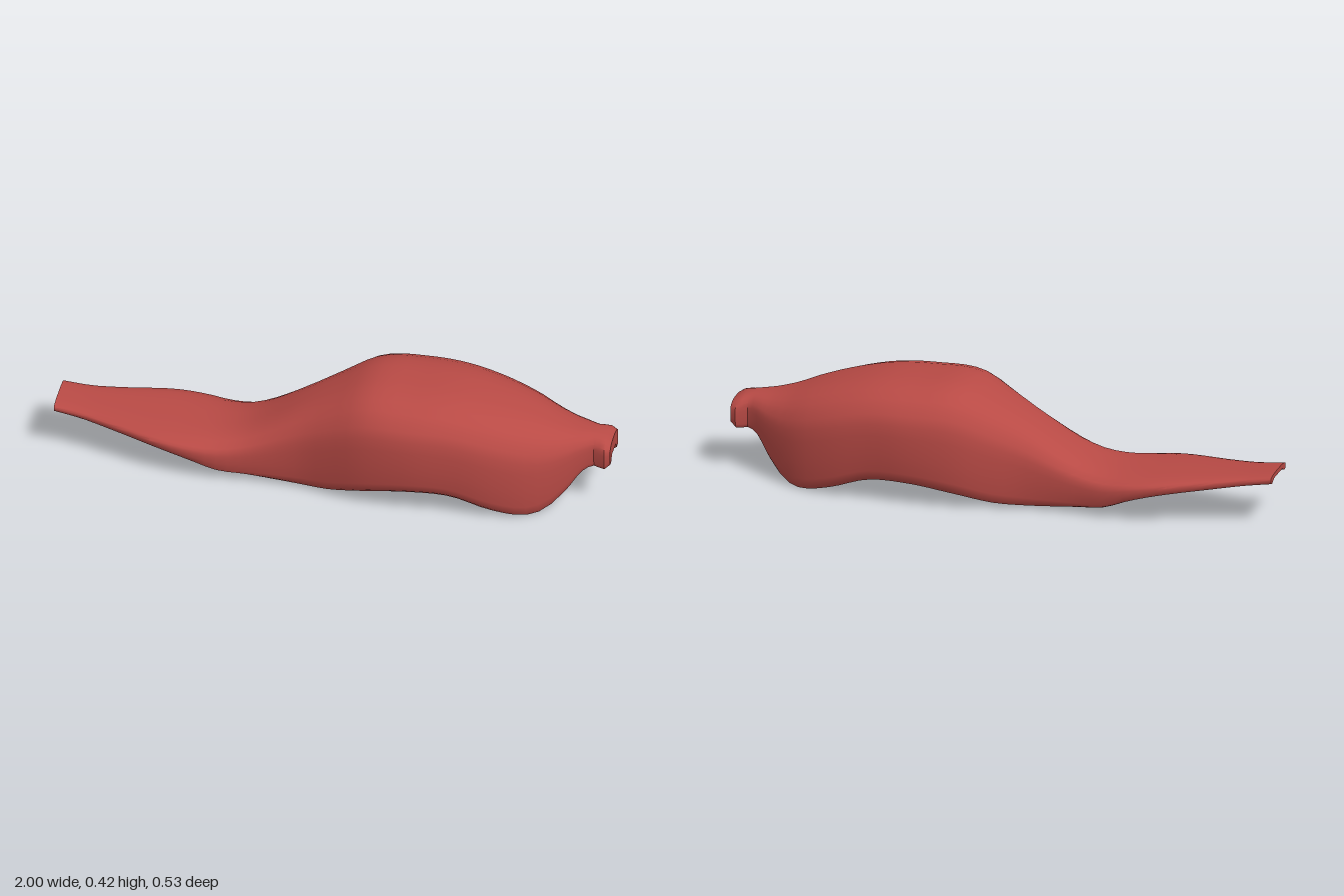
import * as THREE from 'three';
import { toCreasedNormals } from 'three/addons/utils/BufferGeometryUtils.js';

// Stations along the body: x, top, bottom, half width, channel ceiling, channel half width at the bottom
const STATIONS = [
  [-1.0, 0.195, 0.165, 0.09, 0.177, 0.072],
  [-0.9, 0.183, 0.15, 0.098, 0.16, 0.078],
  [-0.8, 0.175, 0.135, 0.122, 0.147, 0.09],
  [-0.6, 0.162, 0.105, 0.178, 0.126, 0.115],
  [-0.5, 0.156, 0.077, 0.185, 0.113, 0.115],
  [-0.4, 0.157, 0.038, 0.175, 0.1, 0.11],
  [-0.3, 0.18, 0.025, 0.162, 0.098, 0.107],
  [-0.1, 0.292, 0.012, 0.17, 0.1, 0.109],
  [0.0, 0.348, 0.02, 0.2, 0.11, 0.115],
  [0.13, 0.413, 0.052, 0.243, 0.13, 0.122],
  [0.3, 0.417, 0.08, 0.263, 0.146, 0.125],
  [0.45, 0.408, 0.075, 0.253, 0.14, 0.122],
  [0.6, 0.375, 0.024, 0.234, 0.113, 0.115],
  [0.72, 0.336, 0.0, 0.198, 0.1, 0.11],
  [0.78, 0.312, 0.016, 0.165, 0.11, 0.1],
  [0.85, 0.293, 0.08, 0.12, 0.14, 0.085],
  [0.9, 0.285, 0.145, 0.088, 0.172, 0.066],
  [0.94, 0.28, 0.162, 0.068, 0.187, 0.054],
  [0.98, 0.27, 0.161, 0.085, 0.195, 0.056],
  [1.0, 0.257, 0.178, 0.077, 0.202, 0.052],
];

// Half of the arched cross-section from the crown to the channel ceiling, as [z, y]
function halfSection(x, top, bottom, width, ceiling, inner) {
  const h = top - bottom;
  return [
    [0, top], [0.2 * width, top - 0.003 * h], [0.4 * width, top - 0.015 * h],
    [0.6 * width, top - 0.055 * h], [0.76 * width, top - 0.112 * h],
    [0.94 * width, top - 0.24 * h], [0.98 * width, top - 0.35 * h],
    [width, top - 0.47 * h], [0.985 * width, top - 0.7 * h],
    [0.965 * width, top - 0.88 * h], [0.94 * width, top - 0.96 * h],
    [0.88 * width, bottom], [inner, bottom],
    [inner * 0.84, bottom + (ceiling - bottom) * 0.5],
    [inner * 0.68, ceiling], [0, ceiling],
  ];
}

function bodyGeometry() {
  const spline = new THREE.CubicInterpolant(
    STATIONS.map((s) => s[0]), STATIONS.flat(), 6, new Float32Array(6));
  const positions = [], index = [];

  // Sample more finely at the narrow end
  const xs = [];
  for (let i = 0; i <= 46; i++) xs.push(-1 + (1.84 * i) / 46);
  for (let i = 1; i <= 8; i++) xs.push(0.84 + 0.02 * i);

  // Mirrored rings lofted along x
  let n;
  for (const x of xs) {
    const half = halfSection(...spline.evaluate(x));
    const mirror = half.slice(1, -1).reverse().map(([z, y]) => [-z, y]);
    const ring = [...half, ...mirror];
    n = ring.length;
    for (const [z, y] of ring) positions.push(x, y, z);
  }
  for (let r = 0; r < xs.length - 1; r++) {
    for (let i = 0; i < n; i++) {
      const a = r * n + i, b = r * n + ((i + 1) % n);
      index.push(a, b, a + n, b, b + n, a + n);
    }
  }

  // End caps
  const last = (xs.length - 1) * n;
  for (const [base, sign] of [[0, -1], [last, 1]]) {
    const pts = Array.from({ length: n }, (_, i) =>
      new THREE.Vector2(positions[(base + i) * 3 + 2], positions[(base + i) * 3 + 1]));
    for (const [a, b, c] of THREE.ShapeUtils.triangulateShape(pts, [])) {
      const turn = pts[b].clone().sub(pts[a]).cross(pts[c].clone().sub(pts[a]));
      // A positive turn in (z, y) faces -x
      if (turn * sign < 0) index.push(base + a, base + b, base + c);
      else index.push(base + a, base + c, base + b);
    }
  }

  const geometry = new THREE.BufferGeometry();
  geometry.setAttribute('position', new THREE.Float32BufferAttribute(positions, 3));
  geometry.setIndex(index);
  return toCreasedNormals(geometry, 0.7);
}

export function createModel() {
  const group = new THREE.Group();
  group.name = 'archedMuscle';
  const red = new THREE.MeshStandardMaterial({ color: 0xb84a45 });
  red.name = 'muscleRed';
  const body = new THREE.Mesh(bodyGeometry(), red);
  body.name = 'channelledBody';
  group.add(body);
  return group;
}
